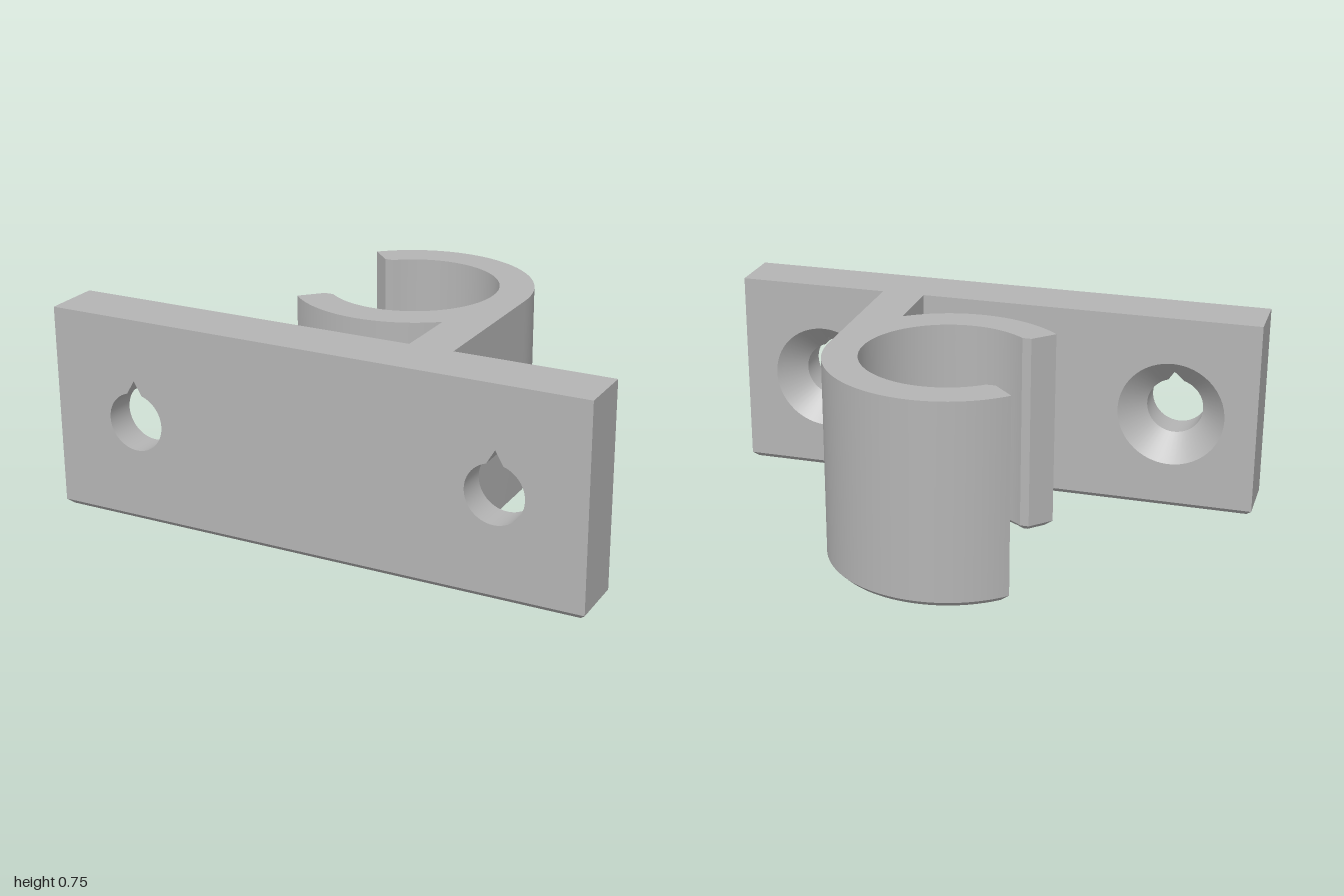
import * as THREE from 'three';
import { toCreasedNormals } from 'three/addons/utils/BufferGeometryUtils.js';

const HEIGHT = 0.75, CHAMFER = 0.02;
const FRONT = 0.615, BACK = 0.405;            // plate faces along z
const RING_Z = -0.185, OUTER = 0.435, INNER = 0.31;
const HOLE_X = 0.68, HOLE_Y = 0.375, HOLE_R = 0.106, SINK_R = 0.2;
const V = (x, y) => new THREE.Vector2(x, y);

// Points on an arc about (cx, cy)
function arc(cx, cy, r, from, to, steps) {
  return Array.from({ length: steps + 1 }, (_, i) => {
    const a = from + (to - from) * i / steps;
    return V(cx + r * Math.cos(a), cy + r * Math.sin(a));
  });
}

// Plan outline of plate, arm and clip, as (x, -z), anticlockwise from above
function planOutline() {
  const lipY = 0.235, lipX = -0.235, c = -RING_Z;
  const innerEnd = Math.PI - Math.asin(lipY / INNER);
  const armX = 0.275, armEnd = -Math.acos(armX / OUTER);
  return [
    V(-1, -FRONT), V(1, -FRONT), V(1, -BACK), V(OUTER, -BACK),
    ...arc(0, c, OUTER, 0, Math.PI * 0.75, 48),
    V(lipX, c + lipY),
    ...arc(0, c, INNER, innerEnd, -innerEnd, 80),
    V(lipX, c - lipY),
    ...arc(0, c, OUTER, -Math.PI * 0.75, armEnd, 30),
    V(armX, -BACK), V(-1, -BACK),
  ];
}

// Move every outline point inward by d, mitred at the corners
function inset(points, d) {
  const n = points.length;
  const inward = (a, b) => V(a.y - b.y, b.x - a.x).normalize();
  return points.map((p, i) => {
    const n1 = inward(points[(i + n - 1) % n], p);
    const n2 = inward(p, points[(i + 1) % n]);
    return p.clone().addScaledVector(n1.clone().add(n2), d / (1 + n1.dot(n2)));
  });
}

function geometryFrom(positions) {
  const g = new THREE.BufferGeometry();
  g.setAttribute('position', new THREE.Float32BufferAttribute(positions, 3));
  return toCreasedNormals(g, 0.45);
}

function pushQuad(out, a, b, c, d) {
  out.push(...a, ...b, ...c, ...a, ...c, ...d);
}

// Caps, side walls and bottom chamfer; long plate faces are left open for the drilled panels
function bodyGeometry() {
  const outline = planOutline(), foot = inset(outline, CHAMFER), out = [];
  const at = (p, y) => [p.x, y, -p.y];
  for (const [a, b, c] of THREE.ShapeUtils.triangulateShape(outline, [])) {
    out.push(...at(outline[a], HEIGHT), ...at(outline[b], HEIGHT), ...at(outline[c], HEIGHT));
  }
  for (const [a, b, c] of THREE.ShapeUtils.triangulateShape(foot, [])) {
    out.push(...at(foot[c], 0), ...at(foot[b], 0), ...at(foot[a], 0));
  }
  outline.forEach((a, i) => {
    const j = (i + 1) % outline.length, b = outline[j];
    pushQuad(out, at(foot[i], 0), at(foot[j], 0), at(b, CHAMFER), at(a, CHAMFER));
    const drilled = a.y === b.y && (a.y === -FRONT || a.y === -BACK);
    if (!drilled) pushQuad(out, at(a, CHAMFER), at(b, CHAMFER), at(b, HEIGHT), at(a, HEIGHT));
  });
  return geometryFrom(out);
}

// Round bore with a small pointed notch at the top
function borePoints() {
  const half = 0.285, up = Math.PI / 2, tip = V(0, 0.152);
  const pts = arc(0, 0, HOLE_R, up + half, up + Math.PI * 2 - half, 48);
  const right = pts[pts.length - 1], left = pts[0];
  for (let i = 1; i <= 4; i++) pts.push(right.clone().lerp(tip, i / 4));
  for (let i = 1; i < 4; i++) pts.push(tip.clone().lerp(left, i / 4));
  return pts;
}

// Countersink cone at the back, running into the straight bore
function holeGeometry(bore, rim) {
  const out = [];
  const at = (p, z) => [p.x, p.y, z];
  const seat = p => BACK + SINK_R - p.length();
  bore.forEach((a, i) => {
    const j = (i + 1) % bore.length, b = bore[j];
    pushQuad(out, at(rim[j], BACK), at(rim[i], BACK), at(a, seat(a)), at(b, seat(b)));
    pushQuad(out, at(b, seat(b)), at(a, seat(a)), at(a, FRONT), at(b, FRONT));
  });
  return geometryFrom(out);
}

// Flat panel from x0 to x1 with holes cut at the given centres
function panelGeometry(x0, x1, centres, hole) {
  const shape = new THREE.Shape([V(x0, CHAMFER), V(x1, CHAMFER), V(x1, HEIGHT), V(x0, HEIGHT)]);
  for (const cx of centres) {
    shape.holes.push(new THREE.Path(hole.map(p => V(p.x + cx, p.y + HOLE_Y))));
  }
  return new THREE.ShapeGeometry(shape);
}

export function createModel() {
  const group = new THREE.Group();
  group.name = 'wallClip';
  const grey = new THREE.MeshStandardMaterial({ color: 0xb4b4b4 });
  grey.name = 'grey';
  const add = (name, geometry) => {
    const mesh = new THREE.Mesh(geometry, grey);
    mesh.name = name;
    group.add(mesh);
    return mesh;
  };

  const bore = borePoints();
  const rim = bore.map(p => p.clone().setLength(SINK_R));

  add('clipAndPlateBody', bodyGeometry());
  add('plateFront', panelGeometry(-1, 1, [-HOLE_X, HOLE_X], bore)).position.z = FRONT;

  // Back panels either side of the arm, turned to face -z
  const backPanels = [['plateBackRight', -0.275, 1, HOLE_X], ['plateBackLeft', -1, -OUTER, -HOLE_X]];
  for (const [name, x0, x1, cx] of backPanels) {
    const g = panelGeometry(x0, x1, [cx], rim);
    add(name, g.rotateY(Math.PI)).position.z = BACK;
  }

  // Screw holes
  const hole = holeGeometry(bore, rim);
  for (const [name, x] of [['screwHoleRight', -HOLE_X], ['screwHoleLeft', HOLE_X]]) {
    add(name, hole).position.set(x, HOLE_Y, 0);
  }
  return group;
}
